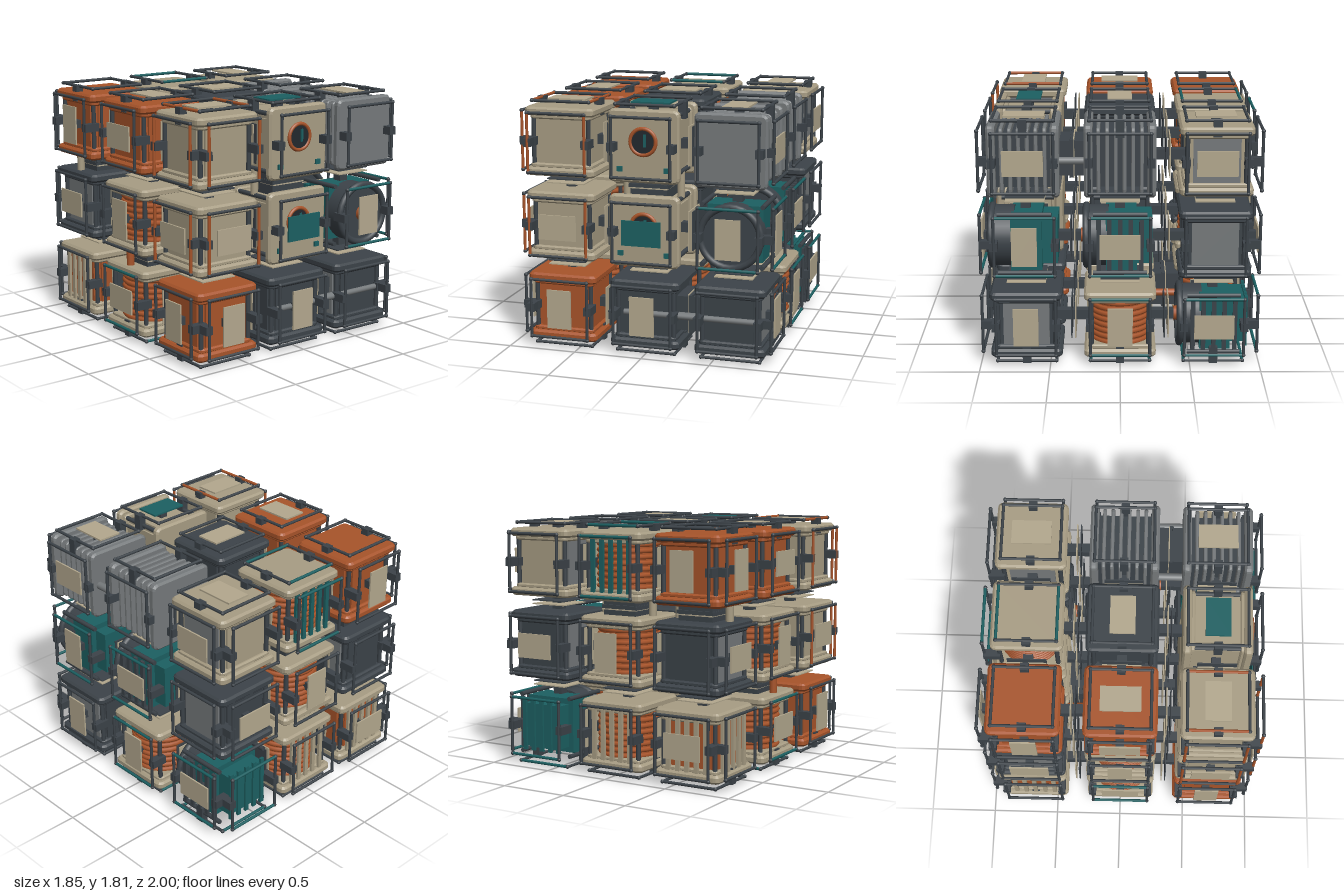
import * as THREE from 'three';

const COLORS = { b: 0xa89d84, o: 0xa8542a, d: 0x3c4349, g: 0x75797b, t: 0x1c6062, k: 0x23282d, p: 0xb3a88e };
const mats = {};
for (const k in COLORS) mats[k] = new THREE.MeshStandardMaterial({ color: COLORS[k] });

function add(parent, name, geo, color, x = 0, y = 0, z = 0) {
  const m = new THREE.Mesh(geo, mats[color]);
  m.name = name;
  m.position.set(x, y, z);
  parent.add(m);
  return m;
}
const box = (w, h, d) => new THREE.BoxGeometry(w, h, d);

// Bevelled plate with rounded corners lying flat, centred on its thickness
function plateGeo(size, thick, bevel = 0.015) {
  const s = new THREE.Shape(), h = size / 2 - bevel, r = 0.03;
  s.moveTo(-h + r, -h);
  s.lineTo(h - r, -h); s.quadraticCurveTo(h, -h, h, -h + r);
  s.lineTo(h, h - r); s.quadraticCurveTo(h, h, h - r, h);
  s.lineTo(-h + r, h); s.quadraticCurveTo(-h, h, -h, h - r);
  s.lineTo(-h, -h + r); s.quadraticCurveTo(-h, -h, -h + r, -h);
  const g = new THREE.ExtrudeGeometry(s, {
    depth: thick - 2 * bevel, bevelEnabled: true, bevelSize: bevel, bevelThickness: bevel, bevelSegments: 1, curveSegments: 3
  });
  g.translate(0, 0, -thick / 2 + bevel);
  return g.rotateX(-Math.PI / 2);
}

const GEO = {
  cap: plateGeo(0.515, 0.06), lid: plateGeo(0.46, 0.035, 0.01), fin: plateGeo(0.47, 0.026, 0.006),
  post: new THREE.CylinderGeometry(0.017, 0.017, 0.38, 8),
  rod: new THREE.CylinderGeometry(0.011, 0.011, 0.43, 8),
  joint: new THREE.SphereGeometry(0.015, 8, 6),
  ridge: new THREE.TorusGeometry(0.213, 0.018, 6, 28).rotateX(Math.PI / 2),
  spool: new THREE.CylinderGeometry(0.21, 0.21, 0.38, 28),
  clip: box(0.055, 0.06, 0.12), slat: box(0.032, 0.38, 0.02)
};

// Two bevelled caps with a stepped lid and four corner posts, along local y
function cappedEnds(g, color) {
  for (const s of [-1, 1]) {
    add(g, 'cap', GEO.cap, color, 0, s * 0.215, 0);
    add(g, 'innerLid', GEO.lid, color, 0, s * 0.175, 0);
    for (const t of [-1, 1]) add(g, 'cornerPost', GEO.post, 'd', s * 0.205, 0, t * 0.205);
  }
}

const CORES = {
  // Cabinet with raised side panels
  box(g, cap, body, rod, side = body) {
    cappedEnds(g, cap);
    add(g, 'cabinet', box(0.39, 0.4, 0.39), body);
    add(g, 'sidePanelX', box(0.42, 0.33, 0.33), side);
    add(g, 'sidePanelZ', box(0.33, 0.33, 0.42), body);
  },
  // Ribbed coil between caps
  coil(g, cap, body) {
    cappedEnds(g, cap);
    add(g, 'spool', GEO.spool, body);
    for (let i = 0; i < 8; i++) add(g, 'coilRidge', GEO.ridge, body, 0, -0.15 + i * 0.043, 0);
  },
  // Stack of cooling fins
  fins(g, cap, body) {
    for (const s of [-1, 1]) add(g, 'endPlate', GEO.cap, cap, 0, s * 0.22, 0);
    add(g, 'finCore', box(0.38, 0.4, 0.38), 'd');
    for (let i = 0; i < 6; i++) add(g, 'fin', GEO.fin, body, 0, -0.15 + i * 0.06, 0);
  },
  // Drum on a stepped square housing
  drum(g, cap, body) {
    add(g, 'rearHousing', box(0.32, 0.14, 0.32), body, 0, -0.16, 0);
    add(g, 'housing', box(0.4, 0.22, 0.4), body, 0, -0.01, 0);
    add(g, 'drum', new THREE.CylinderGeometry(0.22, 0.22, 0.16, 32), cap, 0, 0.16, 0);
    add(g, 'drumRim', new THREE.TorusGeometry(0.215, 0.025, 8, 32).rotateX(Math.PI / 2), cap, 0, 0.24, 0);
    add(g, 'drumHub', new THREE.CylinderGeometry(0.05, 0.06, 0.06, 16), 'o', 0, 0.25, 0);
    for (const s of [-1, 1]) for (const t of [-1, 1]) add(g, 'tieRod', GEO.post, cap, s * 0.215, 0, t * 0.215);
  },
  // Cabinet facing forward with a round window
  port(g, cap, body) {
    CORES.box(g, cap, body);
    add(g, 'windowRing', new THREE.TorusGeometry(0.092, 0.014, 8, 32).rotateX(Math.PI / 2), 'o', 0, 0.25, -0.035);
    add(g, 'window', new THREE.CylinderGeometry(0.09, 0.09, 0.02, 32), 'k', 0, 0.245, -0.035);
    add(g, 'windowLight', box(0.018, 0.012, 0.09), 't', 0.015, 0.257, -0.045);
    for (const s of [-1, 1]) add(g, 'lamp', box(0.04, 0.02, 0.035), 't', s * 0.17, 0.25, 0.16);
  }
};

// Faces: axis index, sign, rotation of a group whose local z points outward
const Q = Math.PI / 2;
const FACES = {
  R: [0, 1, 0, Q], L: [0, -1, 0, -Q], T: [1, 1, -Q, 0], D: [1, -1, Q, 0], F: [2, 1, 0, 0], K: [2, -1, 0, Math.PI]
};
const STEP = [0.62, 0.602, 0.67], OUT = [0.304, 0.298, 0.326];

// Grid place, core, cap / body / rod / side colours, panels and slats by face:
// p upright, l wide, t wide teal, s slats, S slats under a wide panel
const CELLS = [
  [-1, -1, 1, 'box', 'ood', { F: 'p', L: 'p' }], [0, -1, 1, 'box', 'ddd', { F: 'p' }], [1, -1, 1, 'box', 'dddg', { R: 'p' }],
  [-1, -1, 0, 'coil', 'bot', { L: 'l' }], [0, -1, 0, 'coil', 'bod', {}], [1, -1, 0, 'coil', 'bot', { R: 'p' }],
  [-1, -1, -1, 'box', 'bod', { L: 's', K: 'S' }], [0, -1, -1, 'coil', 'bod', { K: 's' }], [1, -1, -1, 'drum', 'dtt', { R: 'S', K: 's' }],
  [-1, 0, 1, 'box', 'bbo', { F: 'l', L: 'l' }], [0, 0, 1, 'port', 'bbd', { F: 't' }], [1, 0, 1, 'drum', 'dtt', { F: 'p', R: 'p' }],
  [-1, 0, 0, 'coil', 'bod', { L: 'p' }], [0, 0, 0, 'box', 'ddd', {}], [1, 0, 0, 'drum', 'dtt', { R: 'S' }],
  [-1, 0, -1, 'box', 'dddg', { L: 'l' }], [0, 0, -1, 'coil', 'bod', { K: 'p' }], [1, 0, -1, 'box', 'dddg', { K: 'l' }],
  [-1, 1, 1, 'box', 'bbo', { T: 'l' }], [0, 1, 1, 'port', 'bbd', { T: 't' }], [1, 1, 1, 'fins', 'ggd', { T: 'p', R: 'l' }],
  [-1, 1, 0, 'box', 'ood', { T: 'p', L: 'l' }], [0, 1, 0, 'box', 'ddd', { T: 'l' }], [1, 1, 0, 'fins', 'ggd', {}],
  [-1, 1, -1, 'box', 'ood', { L: 'p', K: 'p' }], [0, 1, -1, 'coil', 'bot', { K: 's' }], [1, 1, -1, 'box', 'bbdg', { T: 'p', R: 'l' }]
];

// Square of thin rods with ball joints; orange accents upright rods, teal level ones
function rodFrame(f, rod, z) {
  for (const s of [-1, 1]) {
    add(f, 'uprightRod', GEO.rod, rod === 'o' ? 'o' : 'd', s * 0.212, 0, z);
    add(f, 'levelRod', GEO.rod, rod === 't' ? 't' : 'd', 0, s * 0.212, z).rotation.z = Q;
    for (const t of [-1, 1]) add(f, 'rodJoint', GEO.joint, 'd', s * 0.212, t * 0.212, z);
  }
}

function buildFace(cell, key, outer, rod, style) {
  const [axis, sign, rx, ry] = FACES[key], off = OUT[axis];
  const f = new THREE.Group();
  f.name = outer ? 'outerFace' : 'innerFace';
  f.rotation.set(rx, ry, 0);
  cell.add(f);
  if (outer) {
    rodFrame(f, rod, off - 0.012);
    for (const s of [-1, 1]) add(f, 'clip', GEO.clip, 'd', s * 0.215, 0, off - 0.065);
  } else {
    add(f, 'gasketPlate', box(0.28, 0.28, 0.008), sign > 0 ? 'p' : 'd', 0, 0, STEP[axis] / 2 - 0.014);
  }
  if (!style) return;
  if (style === 's' || style === 'S') {
    const color = rod !== 't' ? 'b' : style === 'S' ? 'd' : 't';
    for (let i = -2; i <= 2; i++) add(f, 'slat', GEO.slat, color, i * 0.075, 0, 0.235);
  }
  if (style !== 's') {
    const up = style === 'p';
    add(f, 'panel', box(up ? 0.18 : 0.285, up ? 0.285 : 0.18, 0.012), style === 't' ? 't' : 'p', 0, 0, off - 0.015);
    add(f, 'panelStem', box(0.06, 0.06, 0.1), 'd', 0, 0, off - 0.07);
  }
}

// Wide ducts between cells: from cell, axis, pipe colour
const DUCTS = {
  '-1,0,-1,1': 'b', '0,0,1,1': 'b', '-1,-1,0,1': 'o', '0,0,-1,1': 'b',
  '0,-1,1,0': 'g', '1,1,0,2': 'g', '0,-1,-1,2': 'o'
};

function buildLink(root, pos, axis, pipe) {
  const g = new THREE.Group();
  g.name = pipe ? 'duct' : 'connector';
  g.position.set(...pos.map((p, i) => p * STEP[i] + (i === axis ? STEP[i] / 2 : 0)));
  g.position.y += 0.902;
  if (axis === 0) g.rotation.set(-Q, 0, -Q);
  if (axis === 2) g.rotation.x = Q;
  const len = STEP[axis] - 0.42;
  if (!pipe) add(g, 'stub', box(0.07, len, 0.07), 'd');
  else {
    add(g, 'ductBody', box(0.27, len, 0.25), 'd');
    add(g, 'ductCollar', box(0.29, 0.025, 0.27), 'd');
    for (const s of [-1, 1]) add(g, 'ductPipe', new THREE.CylinderGeometry(0.028, 0.028, len, 12), pipe, s * 0.2, 0, 0);
  }
  root.add(g);
}

export function createModel() {
  const root = new THREE.Group();
  root.name = 'moduleCube';
  for (const [i, j, k, type, colors, styles] of CELLS) {
    const at = [i, j, k], cell = new THREE.Group();
    cell.name = type + 'Module';
    cell.position.set(i * STEP[0], 0.902 + j * STEP[1], k * STEP[2]);
    const core = new THREE.Group();
    core.name = 'core';
    if (type === 'port' || type === 'drum' || type === 'fins') core.rotation.x = Q;
    CORES[type](core, ...colors);
    cell.add(core);
    for (const key in FACES) {
      const [axis, sign] = FACES[key];
      buildFace(cell, key, at[axis] === sign, colors[2], styles[key]);
    }
    root.add(cell);
    for (let a = 0; a < 3; a++) if (at[a] < 1) buildLink(root, at, a, DUCTS[[...at, a].join()]);
  }
  // Long pipe across the lower front
  const pipe = add(root, 'frontPipe', new THREE.CylinderGeometry(0.022, 0.022, 0.96, 14), 'g', 0.32, 0.3, 0.88);
  pipe.rotation.z = Q;
  return root;
}
